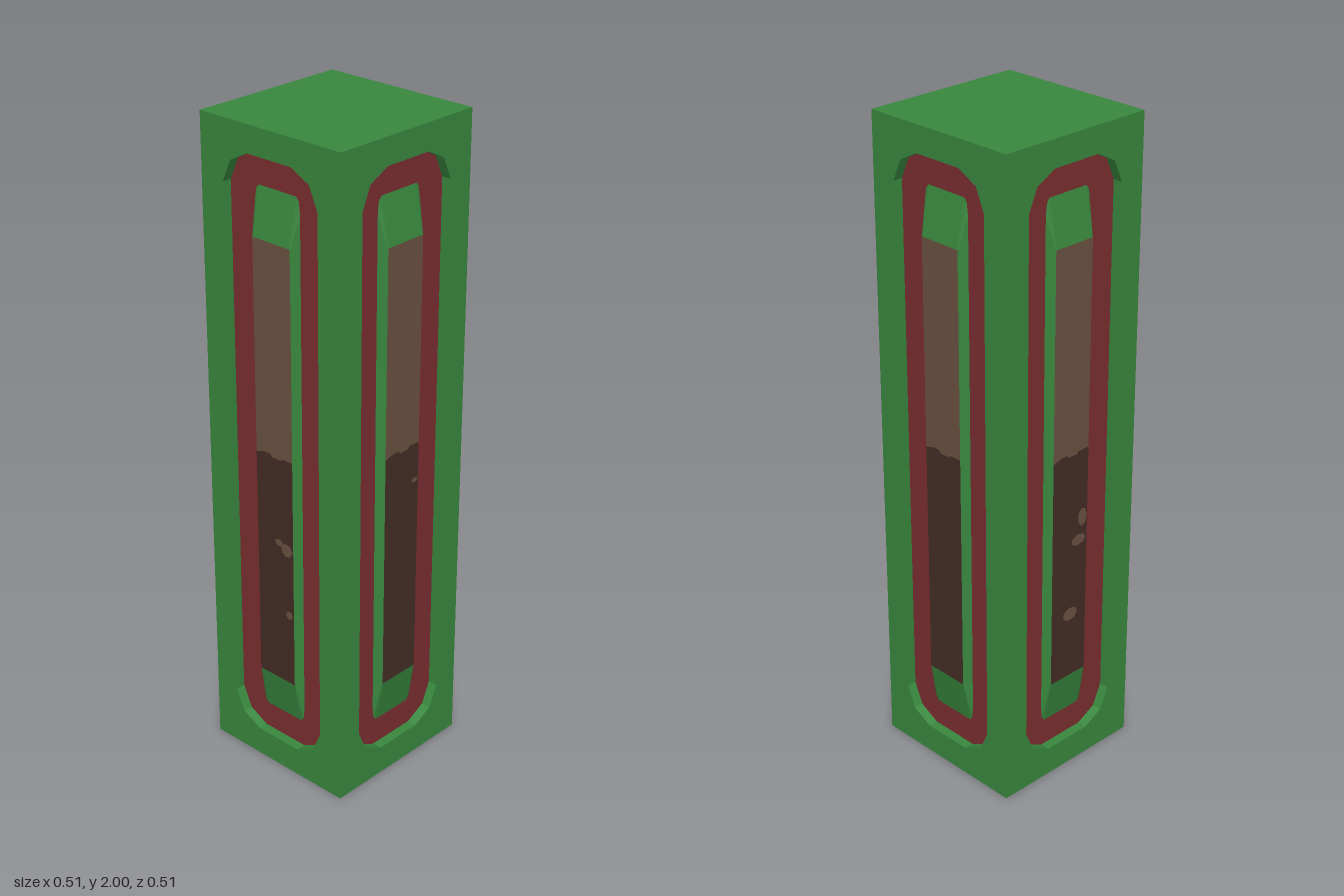
import * as THREE from 'three';

const mat = (name, color) => new THREE.MeshStandardMaterial({ name, color, side: THREE.DoubleSide, flatShading: true });

const HALF = 0.2565, HEIGHT = 2;       // shaft
const RING_Z = HALF - 0.03;            // recessed frame
const PANEL_Z = HALF - 0.003;          // raised panel

// Closed 12-point outline with two-step corners, counter-clockwise.
// corner: [x, y] offsets inward from the box corner, from the side to the end.
function outline(hw, y0, y1, corner) {
  const pts = [];
  const fwd = corner, rev = [...corner].reverse();
  for (const [dx, dy] of rev) pts.push(new THREE.Vector2(hw - dx, y0 + dy));
  for (const [dx, dy] of fwd) pts.push(new THREE.Vector2(hw - dx, y1 - dy));
  for (const [dx, dy] of rev) pts.push(new THREE.Vector2(-hw + dx, y1 - dy));
  for (const [dx, dy] of fwd) pts.push(new THREE.Vector2(-hw + dx, y0 + dy));
  return pts;
}

// Band of quads between two outlines at different depths.
function loft(a, za, b, zb) {
  const pos = [];
  a.forEach((p, i) => {
    const j = (i + 1) % a.length;
    const A = [p.x, p.y, za], B = [a[j].x, a[j].y, za];
    const C = [b[j].x, b[j].y, zb], D = [b[i].x, b[i].y, zb];
    pos.push(...A, ...B, ...C, ...A, ...C, ...D);
  });
  const g = new THREE.BufferGeometry();
  g.setAttribute('position', new THREE.Float32BufferAttribute(pos, 3));
  g.computeVertexNormals();
  return g;
}

// Flat sheet at depth z, optionally with one hole.
function sheet(pts, z, hole) {
  const s = new THREE.Shape(pts);
  if (hole) s.holes.push(new THREE.Path(hole));
  return new THREE.ShapeGeometry(s).translate(0, 0, z);
}

const points = (list) => list.map(([x, y]) => new THREE.Vector2(x, y));

export function createModel() {
  const green = mat('green', 0x39893f);
  const red = mat('dark red', 0x7c2f31);
  const brown = mat('brown', 0x6b5342);
  const darkBrown = mat('dark brown', 0x452d25);

  const model = new THREE.Group();
  model.name = 'pillar';
  const add = (parent, name, geometry, material) => {
    const m = new THREE.Mesh(geometry, material);
    m.name = name;
    parent.add(m);
  };

  const wall = points([[-HALF, 0], [HALF, 0], [HALF, HEIGHT], [-HALF, HEIGHT]]);
  const opening = outline(0.175, 0.09, 1.92, [[0, 0.1], [0.03, 0.033], [0.095, 0]]);
  const inner = outline(0.083, 0.175, 1.83, [[0, 0.05], [0.004, 0.012], [0.014, 0]]);
  const panel = outline(0.07, 0.315, 1.69, [[0, 0.004], [0.001, 0.001], [0.004, 0]]);

  // Light patches on the dark half: [x, y, half width, half height] per side
  const sides = [
    { name: 'front', level: 1.05, spots: [[0.015, 0.78, 0.016, 0.012], [0.045, 0.765, 0.022, 0.022], [0.053, 0.55, 0.013, 0.014]] },
    { name: 'right', level: 1.063, spots: [[0.053, 0.952, 0.014, 0.008]] },
    { name: 'back', level: 1.06, spots: [] },
    { name: 'left', level: 1.055, spots: [[0.05, 0.84, 0.018, 0.03], [0.035, 0.77, 0.03, 0.018], [0.005, 0.53, 0.03, 0.022]] },
  ];

  sides.forEach(({ name, level, spots }, k) => {
    const side = new THREE.Group();
    side.name = name + 'Side';
    side.rotation.y = k * Math.PI / 2;

    // Outer wall, recess rim, frame and bevel of the raised panel
    add(side, 'wall', sheet(wall, HALF, opening), green);
    add(side, 'recessRim', loft(opening, HALF, opening, RING_Z), green);
    add(side, 'frame', sheet(opening, RING_Z, inner), red);
    add(side, 'panelBevel', loft(inner, RING_Z, panel, PANEL_Z), green);

    // Two-tone panel with a slightly uneven dividing line
    const line = [[0.07, level + 0.004], [0.03, level + 0.004], [0.025, level - 0.003],
      [-0.01, level - 0.003], [-0.015, level + 0.005], [-0.04, level + 0.005], [-0.07, level - 0.004]];
    add(side, 'lowerPanel', sheet(points([[-0.07, 0.315], [0.07, 0.315], ...line]), PANEL_Z), darkBrown);
    add(side, 'upperPanel', sheet(points([[-0.07, 1.69], ...[...line].reverse(), [0.07, 1.69]]), PANEL_Z), brown);
    for (const [x, y, w, h] of spots) {
      add(side, 'patch', new THREE.CircleGeometry(1, 7).scale(w, h, 1).translate(x, y, PANEL_Z + 0.001), brown);
    }
    model.add(side);
  });

  // Closed top; the underside stays open
  const top = new THREE.PlaneGeometry(2 * HALF, 2 * HALF).rotateX(-Math.PI / 2).translate(0, HEIGHT, 0);
  add(model, 'top', top, green);

  return model;
}
